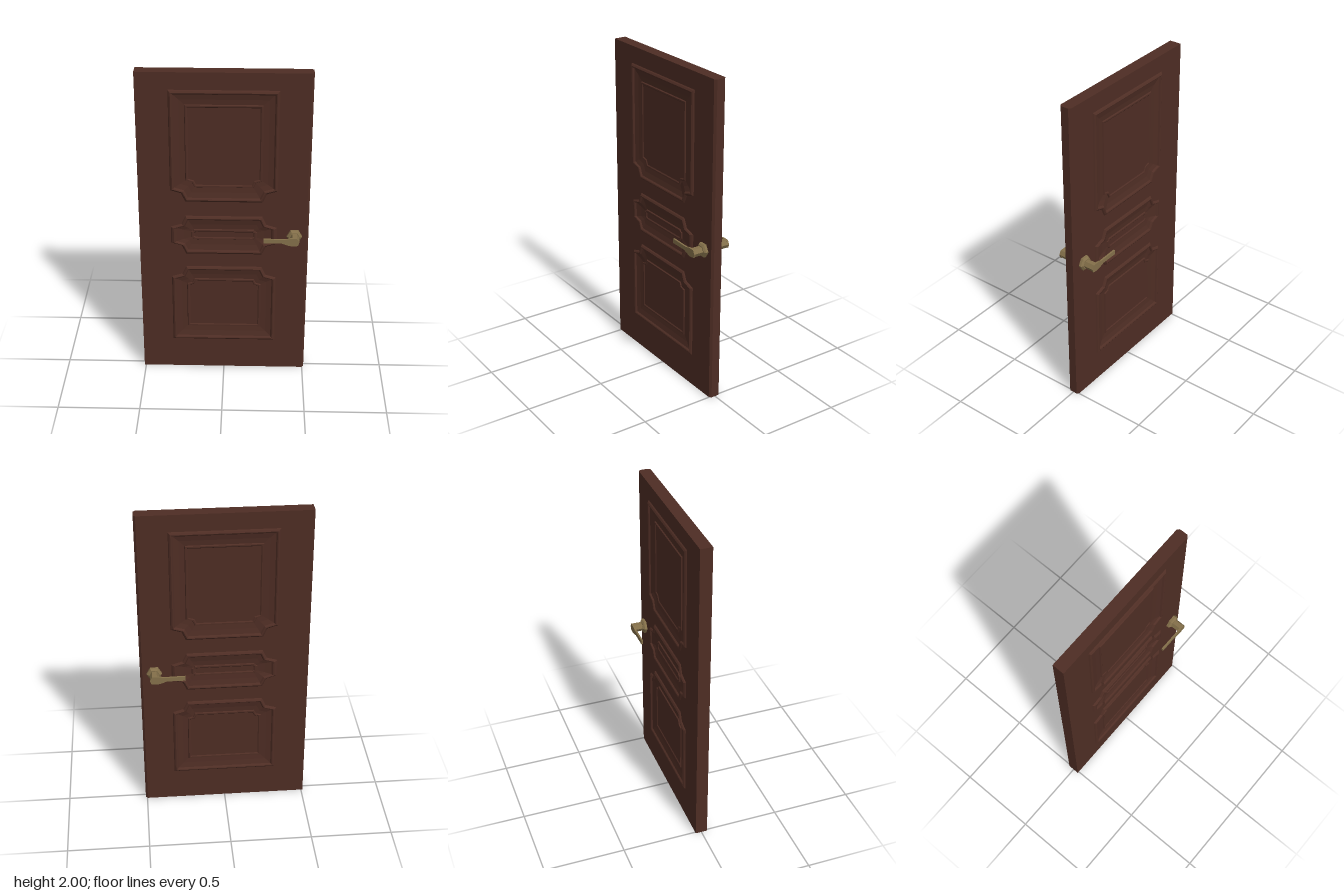
import * as THREE from 'three';

const HALF = 0.037; // half thickness of the door leaf
const wood = new THREE.MeshStandardMaterial({ color: 0x4e2d24, flatShading: true });
wood.name = 'darkWood';
const brass = new THREE.MeshStandardMaterial({ color: 0x84704a, flatShading: true });
brass.name = 'agedBrass';

// Rectangle outline, counter-clockwise, with notched corners at the chosen ends
function outline(halfW, y0, y1, notchBottom, notchTop, scale) {
  const notch = [[0, 0.075], [0.065, 0.055], [0.09, 0]];
  const corners = [[-1, -1], [1, -1], [1, 1], [-1, 1]];
  return corners.flatMap(([sx, sy], i) => {
    const y = sy < 0 ? y0 : y1;
    if (!(sy < 0 ? notchBottom : notchTop)) return [new THREE.Vector2(sx * halfW, y)];
    const pts = notch.map(([dx, dy]) => new THREE.Vector2(sx * (halfW - dx * scale), y - sy * dy * scale));
    return i % 2 ? pts.reverse() : pts;
  });
}

// Moulding loft: [blend from outer to inner outline, height]
const profile = [
  [0, HALF], [0.05, 0.044], [0.14, 0.05], [0.2, 0.048], [0.27, 0.039],
  [0.6, 0.032], [0.92, 0.029], [0.96, 0.036], [1.04, 0.036], [1.1, 0.031],
];

function panelGeometry(outer, inner) {
  const n = outer.length;
  const pos = [], index = [];
  for (const [t, z] of profile) {
    outer.forEach((p, i) => {
      const q = p.clone().lerp(inner[i], t);
      pos.push(q.x, q.y, z);
    });
  }
  for (let k = 0; k < profile.length - 1; k++) {
    for (let i = 0; i < n; i++) {
      const a = k * n + i, b = k * n + (i + 1) % n;
      index.push(a, b, b + n, a, b + n, a + n);
    }
  }
  // Flat field in the middle
  const base = (profile.length - 1) * n;
  const t = profile[profile.length - 1][0];
  const field = outer.map((p, i) => p.clone().lerp(inner[i], t));
  for (const f of THREE.ShapeUtils.triangulateShape(field, [])) index.push(...f.map((v) => v + base));
  const g = new THREE.BufferGeometry();
  g.setAttribute('position', new THREE.Float32BufferAttribute(pos, 3));
  g.setIndex(index);
  const flat = g.toNonIndexed();
  flat.computeVertexNormals();
  return flat;
}

const panels = [
  { name: 'topPanel', outer: outline(0.32, 1.185, 1.895, true, false, 1), inner: outline(0.22, 1.285, 1.795, true, false, 0.55) },
  { name: 'middlePanel', outer: outline(0.32, 0.83, 1.09, true, true, 1), inner: outline(0.19, 0.933, 0.988, true, true, 0.15) },
  { name: 'bottomPanel', outer: outline(0.32, 0.208, 0.742, false, true, 1), inner: outline(0.22, 0.31, 0.642, false, true, 0.45) },
];

function addMesh(parent, name, geometry, material) {
  const mesh = new THREE.Mesh(geometry, material);
  mesh.name = name;
  parent.add(mesh);
  return mesh;
}

// Lever handle on one face; side is +1 for front, -1 for back
function makeHandle(side) {
  const handle = new THREE.Group();
  handle.name = side > 0 ? 'frontHandle' : 'backHandle';
  const hex = (name, rBase, rTip, z0, z1) => {
    const g = new THREE.CylinderGeometry(rTip, rBase, z1 - z0, 6);
    g.rotateY(Math.PI / 2); // corners point sideways
    g.rotateX(side * Math.PI / 2);
    g.translate(0.425, 0.963, side * (z0 + z1) / 2);
    addMesh(handle, name, g, brass);
  };
  hex('rose', 0.046, 0.046, 0.03, 0.052);
  hex('roseBevel', 0.046, 0.034, 0.052, 0.062);
  hex('stem', 0.028, 0.028, 0.06, 0.123);

  const grip = new THREE.Shape([
    [0.24, 0.955], [0.35, 0.955], [0.385, 0.942], [0.41, 0.936], [0.445, 0.94],
    [0.453, 0.963], [0.44, 0.987], [0.4, 0.988], [0.37, 0.98], [0.24, 0.983],
  ].map(([x, y]) => new THREE.Vector2(x, y)));
  const lever = new THREE.ExtrudeGeometry(grip, { depth: 0.011, bevelEnabled: false });
  lever.translate(0, 0, side > 0 ? 0.113 : -0.125);
  addMesh(handle, 'lever', lever, brass);
  return handle;
}

export function createModel() {
  const door = new THREE.Group();
  door.name = 'door';

  // Leaf with openings for the moulded panels
  const leaf = new THREE.Shape([[-0.51, 0], [0.497, 0], [0.497, 2], [-0.51, 2]].map(([x, y]) => new THREE.Vector2(x, y)));
  for (const p of panels) leaf.holes.push(new THREE.Path(p.outer));
  const leafGeo = new THREE.ExtrudeGeometry(leaf, { depth: HALF * 2, bevelEnabled: false });
  leafGeo.translate(0, 0, -HALF);
  addMesh(door, 'leaf', leafGeo, wood);

  // Chamfered closing edge
  const edge = new THREE.Shape([[0.497, -HALF], [0.51, -0.025], [0.51, 0.025], [0.497, HALF]].map(([x, y]) => new THREE.Vector2(x, y)));
  const edgeGeo = new THREE.ExtrudeGeometry(edge, { depth: 2, bevelEnabled: false });
  edgeGeo.rotateX(-Math.PI / 2);
  addMesh(door, 'closingEdge', edgeGeo, wood);

  // Panels and handle on both faces
  for (const side of [1, -1]) {
    for (const p of panels) {
      const mesh = addMesh(door, (side > 0 ? 'front ' : 'back ') + p.name, panelGeometry(p.outer, p.inner), wood);
      if (side < 0) mesh.rotation.y = Math.PI;
    }
    door.add(makeHandle(side));
  }
  return door;
}
